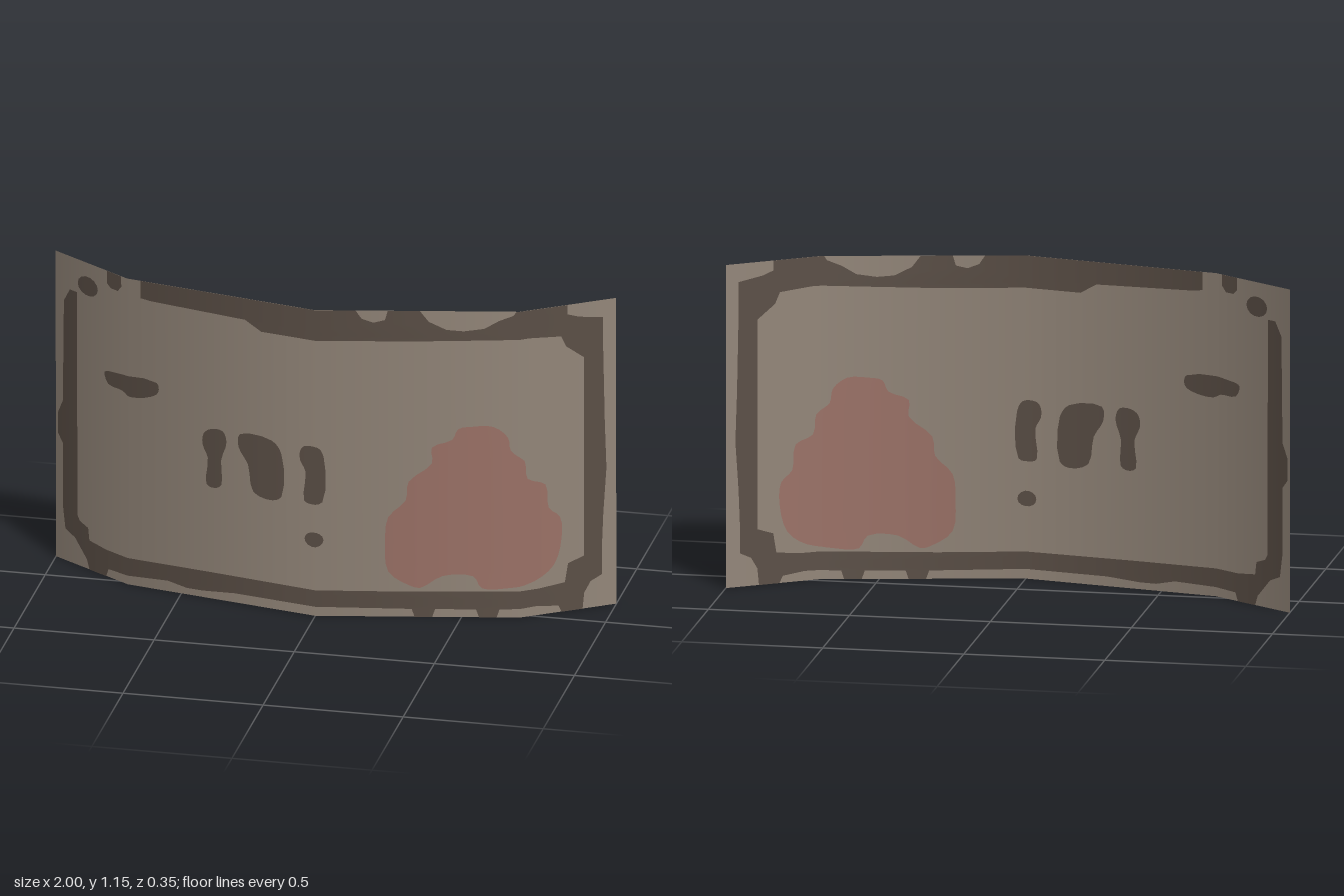
import * as THREE from 'three';

const HEIGHT = 1.155;
// Fold lines of the bent sheet: x, depth z and surface slope there
const FOLDS = [
  { x: -1, z: -0.17, s: 0.667 },
  { x: -0.7, z: 0.027, s: 0.43 },
  { x: 0, z: 0.167, s: 0 },
  { x: 0.7, z: 0.027, s: -0.43 },
  { x: 1, z: -0.17, s: -0.667 },
];

// Keep the part of a convex polygon on one side of a vertical line
function clip(poly, x, side) {
  const out = [];
  poly.forEach((a, i) => {
    const b = poly[(i + 1) % poly.length];
    const da = (a.x - x) * side, db = (b.x - x) * side;
    if (da >= 0) out.push(a);
    if (da * db < 0) out.push(a.clone().lerp(b, da / (da - db)));
  });
  return out;
}

// Bend a flat outline along the folds, lifted by offset; optionally add a rear face
function bend(points, offset, rear) {
  const flat = new THREE.ShapeGeometry(new THREE.Shape(points));
  const p = flat.attributes.position, idx = flat.index;
  const pos = [], nor = [];
  const put = (v, f, g, dir) => {
    const t = (v.x - f.x) / (g.x - f.x);
    const n = new THREE.Vector3(-THREE.MathUtils.lerp(f.s, g.s, t), 0, 1).normalize().multiplyScalar(dir);
    const lean = 0.008 * (v.y / HEIGHT - 0.5);
    pos.push(v.x, v.y, THREE.MathUtils.lerp(f.z, g.z, t) + lean + offset * dir);
    nor.push(n.x, n.y, n.z);
  };
  for (let i = 0; i < idx.count; i += 3) {
    const tri = [0, 1, 2].map(k => new THREE.Vector2().fromBufferAttribute(p, idx.getX(i + k)));
    for (let j = 0; j < 4; j++) {
      const f = FOLDS[j], g = FOLDS[j + 1];
      const poly = clip(clip(tri, f.x, 1), g.x, -1);
      for (let k = 1; k + 1 < poly.length; k++) {
        [poly[0], poly[k], poly[k + 1]].forEach(v => put(v, f, g, 1));
        if (rear) [poly[0], poly[k + 1], poly[k]].forEach(v => put(v, f, g, -1));
      }
    }
  }
  const geo = new THREE.BufferGeometry();
  geo.setAttribute('position', new THREE.Float32BufferAttribute(pos, 3));
  geo.setAttribute('normal', new THREE.Float32BufferAttribute(nor, 3));
  return geo;
}

// Outline from coordinates in hundredths of a unit, with optional rounding
function outline(nums, round) {
  const pts = [];
  for (let i = 0; i < nums.length; i += 2) pts.push(new THREE.Vector3(nums[i] / 100, nums[i + 1] / 100, 0));
  const res = round ? new THREE.CatmullRomCurve3(pts, true).getPoints(pts.length * 3).slice(0, -1) : pts;
  return res.map(v => new THREE.Vector2(v.x, v.y));
}

const oval = (x, y, rx, ry) => new THREE.EllipseCurve(x, y, rx, ry).getPoints(14).slice(0, -1);

// Ragged frame: outer edge from the top round to the left, inner edge back again
const FRAME_OUTER = [
  -65, 115.5, 14, 115.5, 16, 112.5, 20, 111, 24, 112, 25, 115.5, 36, 115.5, 39, 111.5, 45, 108.5,
  51, 108, 58, 109, 63, 112, 68, 114, 69, 115.5, 85, 115.5, 85, 112, 88.5, 110.5, 96, 109,
  96, 100, 96.5, 70, 97, 52, 96, 35, 95.5, 21, 95.5, 12, 92, 10, 90, 6, 89.5, 0,
  83, 0, 82, 2.5, 75, 3.5, 63, 3, 62, 0, 56, 0, 55, 3, 41, 3, 40, 0, 34, 0, 33, 3,
  0, 3.5, -30, 3.5, -42, 2.5, -48, 2.5, -55, 4, -78, 3, -79, 0, -86, 0, -87, 3.5,
  -92, 10, -96, 12, -97, 20, -97, 44, -99, 47, -99, 55, -97, 60, -96.5, 98, -94, 103,
];
const FRAME_INNER = [
  -91, 103, -91, 19, -90, 17, -86.5, 15.5, -86, 11, -79, 10, -40, 10, 30, 9.5, 76, 10, 84, 11,
  85, 18, 90, 20, 90, 95, 84.5, 100, 83, 104, 73, 105, 54, 104.5, 33, 104, -20, 104,
  -26, 107.5, -61, 108.5, -65, 109,
];

const STAIN = [
  24, 28, 25, 37.5, 31, 44, 32, 51, 40, 58, 40, 64, 47, 67, 49, 71, 54, 72, 61, 72, 66, 68,
  67, 63, 71.5, 59, 72.5, 52, 78, 49, 79, 40, 82.5, 36, 83, 28, 80.5, 18, 74.5, 13, 65, 11,
  57, 11, 54, 15.5, 43.5, 15.5, 36, 11, 32, 12, 25, 17,
];

const MARKS = {
  leftMark: [-41.5, 62, -39, 64, -34.5, 64, -33, 60, -35, 53, -35, 43.5, -37.5, 42, -40.5, 43, -40, 53, -42, 58],
  middleMark: [-28, 64, -16, 63.5, -12.5, 59, -12.5, 43, -16, 41, -23, 43, -25, 53, -28.5, 59],
  rightMark: [-5.5, 61.5, -4, 63.5, 1, 63.5, 3, 60, 2.5, 43, -1, 42, -4, 43, -3.5, 54, -5.5, 58],
  dashMark: [-79.5, 77, -77, 78, -59, 78, -58.5, 74.5, -61, 72.5, -69, 71, -72, 72.5, -78, 73],
};

export function createModel() {
  const cloth = new THREE.MeshStandardMaterial({ color: 0x94877a, side: THREE.DoubleSide });
  cloth.name = 'taupe cloth';
  const dark = new THREE.MeshStandardMaterial({ color: 0x5b4f46 });
  dark.name = 'dark brown paint';
  const red = new THREE.MeshStandardMaterial({ color: 0x9c7267 });
  red.name = 'faded red paint';

  const group = new THREE.Group();
  group.name = 'bentBanner';
  const add = (name, geo, mat) => {
    const mesh = new THREE.Mesh(geo, mat);
    mesh.name = name;
    group.add(mesh);
  };
  // Paint shows on both sides of the sheet
  const paint = (name, pts, mat) => add(name, bend(pts, 0.002, true), mat);

  add('sheet', bend(outline([-100, 0, 100, 0, 100, 115.5, -100, 115.5]), 0, false), cloth);
  paint('frame', outline([...FRAME_OUTER, ...FRAME_INNER]), dark);
  paint('cornerSpot', oval(-0.865, 1.068, 0.042, 0.036), dark);
  paint('topSpot', outline([-78.5, 115.5, -78.5, 111, -77, 109.5, -74, 109.5, -72.5, 111.5, -72.5, 115.5]), dark);
  for (const [name, nums] of Object.entries(MARKS)) paint(name, outline(nums, true), dark);
  paint('dot', oval(-0.005, 0.287, 0.034, 0.028), dark);
  paint('stain', outline(STAIN, true), red);
  return group;
}
